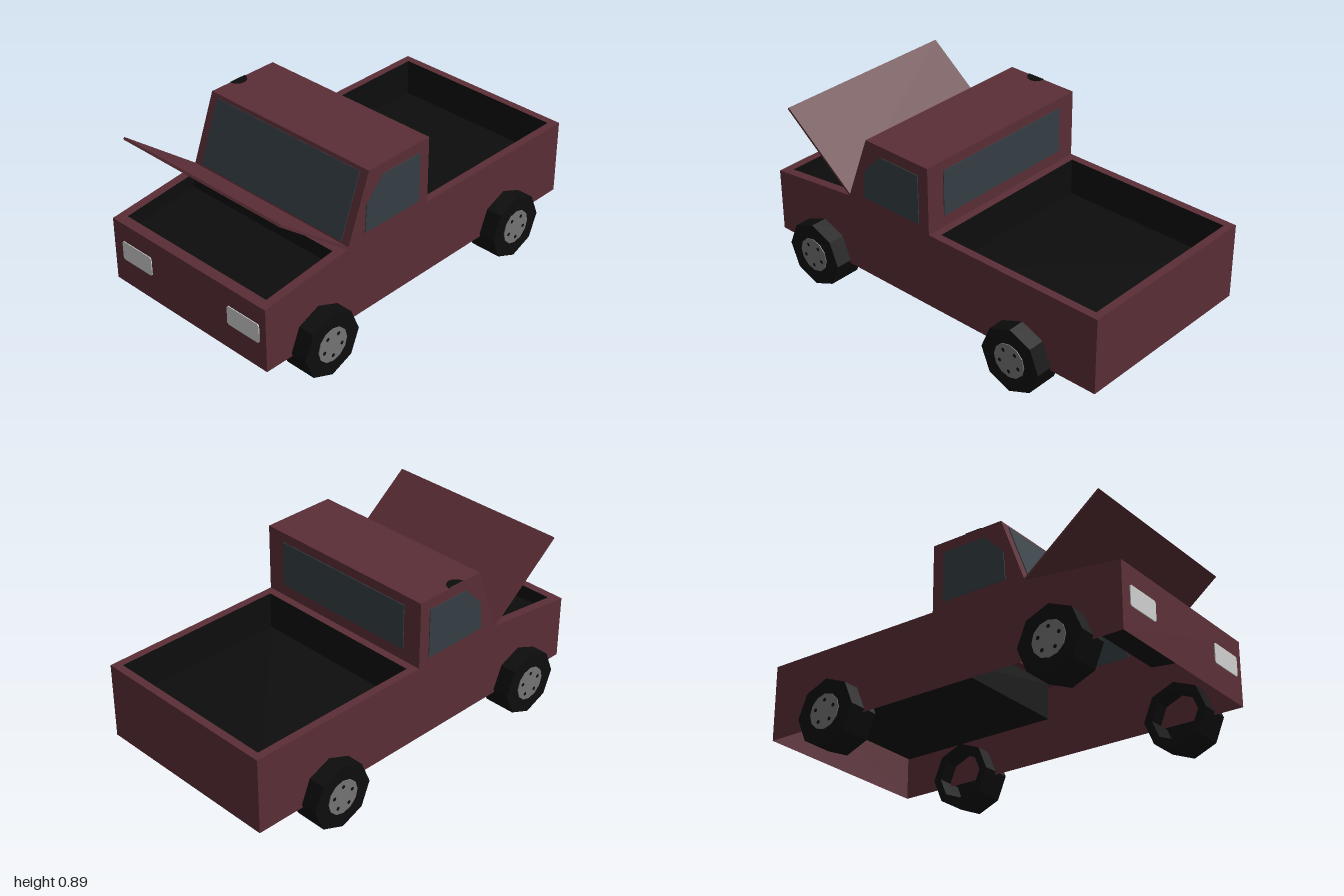
import * as THREE from 'three';

const mat = (name, color, double = true) => {
  const m = new THREE.MeshStandardMaterial({ color, flatShading: true });
  if (double) m.side = THREE.DoubleSide;
  m.name = name;
  return m;
};

export function createModel() {
  const truck = new THREE.Group();
  truck.name = 'pickupTruck';
  const paint = mat('maroonPaint', 0x5b2e36);
  const black = mat('blackLining', 0x0d0d0d);
  const glass = mat('darkGlass', 0x363f45);
  const lamp = mat('lampWhite', 0xd0d0d0, false);
  const metal = mat('wheelGrey', 0x757575, false);

  const add = (name, geometry, material, parent = truck) => {
    const mesh = new THREE.Mesh(geometry, material);
    mesh.name = name;
    parent.add(mesh);
    return mesh;
  };
  const shape = (pts) => new THREE.Shape(pts.map(([x, y]) => new THREE.Vector2(x, y)));
  const rect = (x0, y0, x1, y1) => [[x0, y0], [x1, y0], [x1, y1], [x0, y1]];
  // Thin plate centred on its own plane
  const plate = (pts, depth = 0.008) =>
    new THREE.ExtrudeGeometry(shape(pts), { depth, bevelEnabled: false }).translate(0, 0, -depth / 2);
  // Horizontal panel in x and z with a rectangular opening
  const frame = (outer, hole) => {
    const s = shape(rect(...outer));
    s.holes.push(shape(rect(...hole)));
    return new THREE.ShapeGeometry(s).rotateX(Math.PI / 2);
  };
  // Open-topped tub: bottom and four walls; heights are rules of z
  const tub = (x, z0, z1, topY, floorY) => {
    const ring = [[-x, z0], [x, z0], [x, z1], [-x, z1]];
    const top = ring.map(([a, z]) => [a, topY(z), z]);
    const low = ring.map(([a, z]) => [a, floorY(z), z]);
    const quads = [low];
    for (let i = 0; i < 4; i++) {
      const j = (i + 1) % 4;
      quads.push([top[i], top[j], low[j], low[i]]);
    }
    const pos = quads.flatMap(([a, b, c, d]) => [a, d, c, a, c, b]).flat();
    const g = new THREE.BufferGeometry();
    g.setAttribute('position', new THREE.Float32BufferAttribute(pos, 3));
    g.computeVertexNormals();
    return g;
  };

  // Body sides with cab outline, and side windows
  const outline = [[-1, 0.15], [1, 0.15], [1, 0.48], [0.5, 0.54], [0.37, 0.885],
    [-0.02, 0.885], [-0.02, 0.54], [-1, 0.54]];
  const sideGlass = [[0.395, 0.575], [0.385, 0.72], [0.28, 0.83], [0.04, 0.83], [0.04, 0.575]];
  for (const [side, sx] of [['left', 1], ['right', -1]]) {
    const panel = new THREE.ShapeGeometry(shape(outline)).rotateY(-Math.PI / 2);
    if (sx > 0) {
      // Make the left panel face outward
      panel.setIndex(Array.from(panel.index.array).reverse());
      panel.computeVertexNormals();
    }
    add(side + 'BodySide', panel, paint).position.x = sx * 0.5;
    add(side + 'Window', plate(sideGlass).rotateY(-Math.PI / 2), glass).position.x = sx * 0.5;
  }

  // Front, tail and cab panels
  const wall = (name, height, y, z, back) => {
    const m = add(name, new THREE.PlaneGeometry(1, height), paint);
    m.position.set(0, y, z);
    if (back) m.rotation.y = Math.PI;
    return m;
  };
  wall('frontPanel', 0.33, 0.315, 1, false);
  wall('tailgate', 0.39, 0.345, -1, true);
  wall('cabBack', 0.345, 0.7125, -0.02, true);
  const roof = wall('roof', 0.39, 0.885, 0.175, false);
  roof.rotation.x = -Math.PI / 2;
  const slope = Math.hypot(0.13, 0.345);
  const screen = new THREE.Group();
  screen.name = 'windscreen';
  screen.position.set(0, 0.7125, 0.435);
  screen.rotation.x = -Math.atan2(0.13, 0.345);
  truck.add(screen);
  add('windscreenFrame', new THREE.PlaneGeometry(1, slope), paint, screen);
  add('windscreenGlass', plate(rect(-0.455, -0.165, 0.455, 0.165)), glass, screen);
  add('rearWindow', plate(rect(-0.4, 0.6, 0.4, 0.835)), glass).position.z = -0.02;

  // Dark patch at the roof edge
  add('roofPatch', new THREE.CylinderGeometry(0.045, 0.045, 0.006, 10, 1, false, 0, Math.PI), black)
    .position.set(-0.499, 0.886, 0.21);

  // Cargo bed
  add('bedRim', frame([-0.5, -1, 0.5, -0.02], [-0.46, -0.96, 0.46, -0.06]), paint).position.y = 0.54;
  add('bedLining', tub(0.46, -0.96, -0.06, () => 0.54, () => 0.35), black);

  // Engine bay under the sloping nose
  const noseY = (z) => 0.54 - (z - 0.5) * 0.12;
  const nose = frame([-0.5, 0.5, 0.5, 1], [-0.455, 0.55, 0.455, 0.95]);
  const p = nose.attributes.position;
  for (let i = 0; i < p.count; i++) p.setY(i, noseY(p.getZ(i)));
  nose.computeVertexNormals();
  add('engineBayRim', nose, paint);
  add('engineBayLining', tub(0.455, 0.55, 0.95, noseY, (z) => noseY(z) - 0.075), black);

  // Raised hood
  const hood = add('hood', new THREE.BoxGeometry(1, 0.012, 0.51), paint);
  hood.position.set(0, 0.702, 0.7);
  hood.rotation.x = -Math.atan2(0.315, 0.4);

  // Headlights with clipped corners
  const w = 0.1, h = 0.05, c = 0.008;
  const lampShape = [[-w + c, -h], [w - c, -h], [w, -h + c], [w, h - c],
    [w - c, h], [-w + c, h], [-w, h - c], [-w, -h + c]];
  for (const x of [0.36, -0.34]) add('headlight', plate(lampShape), lamp).position.set(x, 0.335, 1);

  // Eight-sided wheels, hollow on the inner side
  const tyre = [[0, 0.165], [0.167, 0.165], [0.167, 0], [0.125, 0], [0.125, 0.14], [0, 0.14]]
    .map(([r, y]) => new THREE.Vector2(r, y));
  for (const sx of [1, -1]) {
    for (const z of [0.685, -0.585]) {
      const wheel = new THREE.Group();
      wheel.name = (z > 0 ? 'front' : 'rear') + (sx > 0 ? 'Left' : 'Right') + 'Wheel';
      wheel.position.set(sx * 0.42, 0.167, z);
      wheel.rotation.z = -sx * Math.PI / 2;
      truck.add(wheel);
      add('tyre', new THREE.LatheGeometry(tyre, 8), black, wheel);
      add('hub', new THREE.CylinderGeometry(0.088, 0.088, 0.006, 12), metal, wheel).position.y = 0.166;
      for (let i = 0; i < 5; i++) {
        const a = (i / 5) * Math.PI * 2;
        add('lugNut', new THREE.CylinderGeometry(0.01, 0.01, 0.004, 6), black, wheel)
          .position.set(Math.cos(a) * 0.057, 0.168, Math.sin(a) * 0.057);
      }
    }
  }
  return truck;
}
